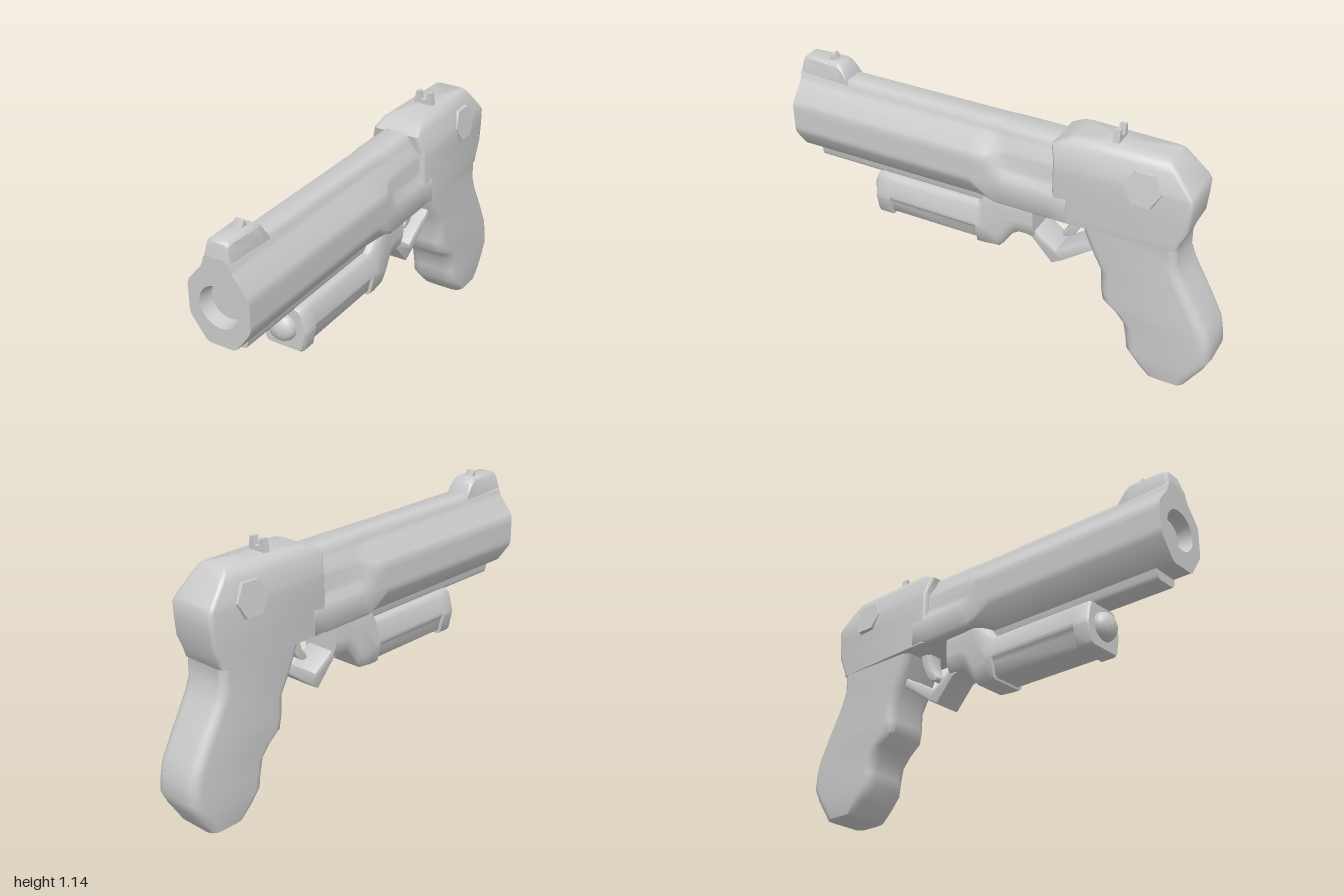
import * as THREE from 'three';
import { toCreasedNormals } from 'three/addons/utils/BufferGeometryUtils.js';

const material = new THREE.MeshStandardMaterial({ color: 0xcccccc });
const doubleSided = new THREE.MeshStandardMaterial({ color: 0xcccccc, side: THREE.DoubleSide });

// Skin through equal-length closed rings of [x, y, z], with optional end caps
function loft(rings, capStart = true, capEnd = true) {
  const n = rings[0].length, verts = rings.flat(), index = [];
  for (let i = 0; i < rings.length - 1; i++) {
    for (let j = 0; j < n; j++) {
      const a = i * n + j, b = i * n + (j + 1) % n;
      index.push(a, b, b + n, a, b + n, a + n);
    }
  }
  const cap = (ring, start, flip) => {
    const c = verts.length;
    verts.push([0, 1, 2].map(k => ring.reduce((s, p) => s + p[k], 0) / n));
    for (let j = 0; j < n; j++) {
      const a = start + j, b = start + (j + 1) % n;
      index.push(c, flip ? b : a, flip ? a : b);
    }
  };
  if (capStart) cap(rings[0], 0, true);
  if (capEnd) cap(rings.at(-1), (rings.length - 1) * n, false);
  // Turn the faces outwards if the rings run the other way
  let volume = 0;
  const v = verts.map(p => new THREE.Vector3(...p));
  for (let i = 0; i < index.length; i += 3) {
    volume += v[index[i]].dot(v[index[i + 1]].clone().cross(v[index[i + 2]]));
  }
  if (volume < 0) index.reverse();
  const g = new THREE.BufferGeometry();
  g.setAttribute('position', new THREE.Float32BufferAttribute(verts.flat(), 3));
  g.setIndex(index);
  return toCreasedNormals(g, 0.75);
}

// Mirror a half outline (top to bottom) and chamfer each of its corners
function outline(half, r = 0.012) {
  const pts = [...half, ...half.map(([x, y]) => [-x, y]).reverse()];
  const toward = (a, b) => {
    const d = Math.hypot(b[0] - a[0], b[1] - a[1]);
    const t = Math.min(r / d, 0.3);
    return [a[0] + (b[0] - a[0]) * t, a[1] + (b[1] - a[1]) * t];
  };
  return pts.flatMap((p, i) => [
    toward(p, pts.at(i - 1)), toward(p, pts[(i + 1) % pts.length])]);
}
const section = (z, half, r) => outline(half, r).map(([x, y]) => [x, y, z]);

// Horizontal rounded rectangle between two z values
function roundedRow([y, back, front, w, r]) {
  const ring = [];
  const corners = [[1, front - r], [-1, front - r], [-1, back + r], [1, back + r]];
  corners.forEach(([s, zc], q) => {
    for (let k = 0; k <= 5; k++) {
      const a = (q + k / 5) * Math.PI / 2;
      const z = zc + r * Math.sin(a);
      const flare = y > 0.701 ? 1 + 0.2 * THREE.MathUtils.clamp((z + 0.65) / 0.37, 0, 1) : 1;
      ring.push([(s * (w - r) + r * Math.cos(a)) * flare, y, z]);
    }
  });
  return ring;
}

// Side profile given as [z, y], extruded across x
function sideExtrude(points, halfWidth, bevel) {
  const shape = new THREE.Shape(points.map(([z, y]) => new THREE.Vector2(-z, y)));
  const g = new THREE.ExtrudeGeometry(shape, {
    depth: 2 * (halfWidth - bevel), bevelEnabled: true, bevelSize: bevel,
    bevelThickness: bevel, bevelOffset: -bevel, bevelSegments: 2,
  });
  g.translate(0, 0, bevel - halfWidth).rotateY(Math.PI / 2);
  return toCreasedNormals(g, 0.75);
}

export function createModel() {
  const group = new THREE.Group();
  const add = (name, geometry, mat = material) => {
    const m = new THREE.Mesh(geometry, mat);
    m.name = name;
    group.add(m);
    return m;
  };

  // Octagonal barrel housing, stepping in to a ledge towards the rear
  const front = [[.055, 1.045], [.065, 1], [.14, .91], [.14, .86], [.14, .81], [.14, .77], [.065, .665]];
  const drop = [[.14, .70], [.1, .695]];
  const step = [...front.slice(0, 2), [.112, .93], [.135, .87], [.14, .815], ...drop];
  const ledge = [[.06, 1.045], [.075, 1], [.108, .94], [.11, .86], [.14, .815], ...drop];
  add('barrelHousing', loft([
    section(1, front), section(.11, front),
    section(.04, [...front.slice(0, 5), [.14, .725], [.085, .68]]),
    section(0, step), section(-.05, ledge), section(-.26, ledge), section(-.34, ledge),
  ], false, true));

  // Muzzle face and shallow bore
  const face = new THREE.Shape(outline(front).map(p => new THREE.Vector2(...p)));
  face.holes.push(new THREE.Path().absarc(0, .835, .09, 0, Math.PI * 2, true));
  add('muzzleFace', new THREE.ShapeGeometry(face, 24).translate(0, 0, 1), doubleSided);
  add('bore', new THREE.CylinderGeometry(.09, .08, .06, 48, 1, true)
    .rotateX(Math.PI / 2).translate(0, .835, .97), doubleSided);
  add('boreEnd', new THREE.CircleGeometry(.08, 48).translate(0, .835, .94));

  // Raised ramp and bead at the muzzle
  const ramp = (z, top, w) => section(z, [[w, top], [.06, 1.02], [.06, 1]]);
  add('frontSightRamp', loft([
    ramp(1, 1.035, .05), ramp(.985, 1.1, .045), ramp(.97, 1.11, .045),
    ramp(.81, 1.11, .052), ramp(.785, 1.09, .055), ramp(.755, 1.04, .06),
  ]));
  add('frontSight', sideExtrude([[.87, 1.1], [.855, 1.135], [.845, 1.135], [.83, 1.1]], .02, .003));

  // Rail under the barrel
  const rail = [[.065, .69], [.058, .64], [.05, .625]];
  add('underRail', loft([section(.92, rail, .005), section(0, rail, .005)]));

  // Receiver and grip, rows of [height, back z, front z, half width, corner radius]
  const rows = [
    [0, -.87, -.735, .085, .03], [.012, -.898, -.72, .108, .04], [.06, -.93, -.672, .115, .05],
    [.12, -.97, -.62, .115, .05], [.18, -1, -.612, .115, .05], [.25, -.992, -.598, .115, .05],
    [.30, -.982, -.555, .115, .05], [.345, -.96, -.497, .115, .05], [.4, -.932, -.487, .115, .05],
    [.49, -.883, -.484, .115, .05], [.555, -.845, -.452, .115, .045], [.62, -.817, -.425, .115, .04],
    [.7, -.815, -.395, .115, .035], [.702, -.816, -.27, .115, .02], [.74, -.828, -.27, .115, .02],
    [.8, -.855, -.27, .115, .02], [.88, -.863, -.27, .115, .02], [.945, -.867, -.27, .114, .02],
    [.965, -.856, -.27, .112, .02], [1.04, -.79, -.25, .092, .02], [1.07, -.763, -.3, .082, .02],
    [1.085, -.745, -.335, .066, .02],
  ];
  add('receiverAndGrip', loft(rows.map(roundedRow)));

  // Hexagonal pins on both sides, leaning with the receiver walls
  for (const s of [1, -1]) {
    const pin = add(s > 0 ? 'leftPin' : 'rightPin', toCreasedNormals(
      new THREE.CylinderGeometry(.08, .088, .035, 6).rotateZ(-s * Math.PI / 2), .3));
    pin.position.set(s * .109, .955, -.66);
    pin.rotation.z = s * .16;
  }

  // Notched rear sight
  const notch = new THREE.Shape([
    [-.047, 1.075], [.047, 1.075], [.036, 1.14], [.02, 1.14], [.013, 1.105],
    [-.013, 1.105], [-.02, 1.14], [-.036, 1.14],
  ].map(p => new THREE.Vector2(...p)));
  add('rearSight', new THREE.ExtrudeGeometry(notch, { depth: .028, bevelEnabled: false })
    .translate(0, 0, -.519));

  // Light module under the rail, with sunken lower side panels
  const full = [[.07, .635], [.088, .62], [.11, .53], [.108, .515], [.09, .43]];
  const sunk = [[.07, .635], [.088, .62], [.11, .53], [.094, .515], [.078, .44]];
  const rear = (w, bottom) => [[w - .01, .72], [w, .69], [w, .62], [w, bottom + .06], [w - .02, bottom]];
  add('lightModule', loft([
    section(.612, full.map(([x, y]) => [x * .93, .53 + (y - .53) * .93])), section(.6, full),
    section(.54, full), section(.538, sunk), section(.102, sunk), section(.1, full),
    section(.07, [[.08, .68], [.098, .64], [.11, .53], [.108, .515], [.09, .43]]),
    section(0, rear(.105, .435)), section(-.02, rear(.103, .455)), section(-.06, rear(.1, .515)),
    section(-.09, rear(.098, .535)), section(-.17, rear(.095, .535)),
  ]));
  const lens = [[0, .052], [.02, .05], [.042, .042], [.056, .028], [.063, .01], [.063, -.02]]
    .reverse().map(p => new THREE.Vector2(...p));
  add('lightLens', new THREE.LatheGeometry(lens, 40).rotateX(Math.PI / 2)
    .translate(0, .535, .61));

  // Angular trigger guard and curved trigger
  add('triggerGuard', sideExtrude([
    [-.12, .535], [-.155, .525], [-.25, .42], [-.3, .45], [-.47, .575], [-.44, .6],
    [-.41, .575], [-.37, .56], [-.27, .495], [-.2, .545], [-.165, .57], [-.12, .57],
  ], .07, .01));
  const trigger = new THREE.CatmullRomCurve3([
    [-.325, .72], [-.325, .66], [-.31, .61], [-.283, .572], [-.29, .557], [-.33, .572],
    [-.36, .62], [-.38, .68], [-.385, .72],
  ].map(([z, y]) => new THREE.Vector3(z, y, 0))).getPoints(24).map(p => [p.x, p.y]);
  add('trigger', sideExtrude(trigger, .035, .005));

  return group;
}
